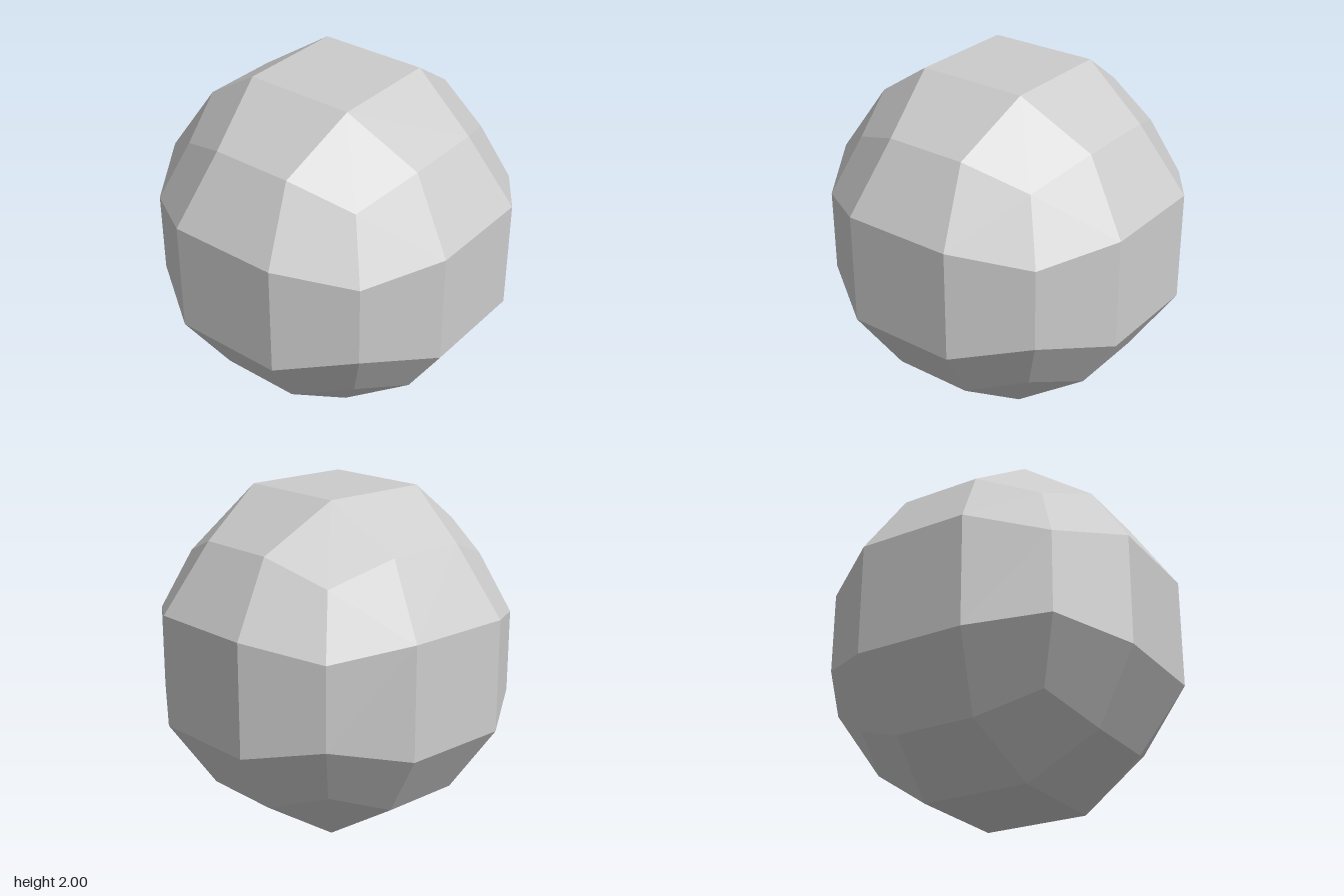
import * as THREE from 'three';

// Grid lines on each side of the starting cube
const GRID = [-1, -1 / 3, 1 / 3, 1];
// How far face, edge and corner points of the cube are pulled inwards
const PULL = [0, 1, 0.737, 0.6];

function spherePoint(axis, sign, u, v) {
  const c = [0, 0, 0];
  c[axis] = sign;
  c[(axis + 1) % 3] = u * sign;
  c[(axis + 2) % 3] = v;
  const pull = PULL[c.filter((n) => Math.abs(n) === 1).length];
  return new THREE.Vector3(...c).multiplyScalar(pull);
}

// Cube with 3 x 3 panels per side, rounded to a ball, one normal per panel
function facetedBall() {
  const positions = [];
  const normals = [];
  const addPanel = (a, b, c, d) => {
    const normal = c.clone().sub(a).cross(d.clone().sub(b)).normalize();
    // split along the shorter diagonal
    const order = a.distanceTo(c) <= b.distanceTo(d) ? [a, b, c, a, c, d] : [a, b, d, b, c, d];
    for (const p of order) {
      positions.push(p.x, p.y, p.z);
      normals.push(normal.x, normal.y, normal.z);
    }
  };
  for (let axis = 0; axis < 3; axis++) {
    for (const sign of [-1, 1]) {
      for (let i = 0; i < 3; i++) {
        for (let j = 0; j < 3; j++) {
          const at = (di, dj) => spherePoint(axis, sign, GRID[i + di], GRID[j + dj]);
          addPanel(at(0, 0), at(1, 0), at(1, 1), at(0, 1));
        }
      }
    }
  }
  const geometry = new THREE.BufferGeometry();
  geometry.setAttribute('position', new THREE.Float32BufferAttribute(positions, 3));
  geometry.setAttribute('normal', new THREE.Float32BufferAttribute(normals, 3));
  return geometry;
}

export function createModel() {
  const group = new THREE.Group();
  group.name = 'facetedBall';

  const lightGrey = new THREE.MeshStandardMaterial({ color: 0xcccccc });
  lightGrey.name = 'lightGrey';

  const ball = new THREE.Mesh(facetedBall(), lightGrey);
  ball.name = 'ball';
  ball.position.y = 1;
  group.add(ball);
  return group;
}
